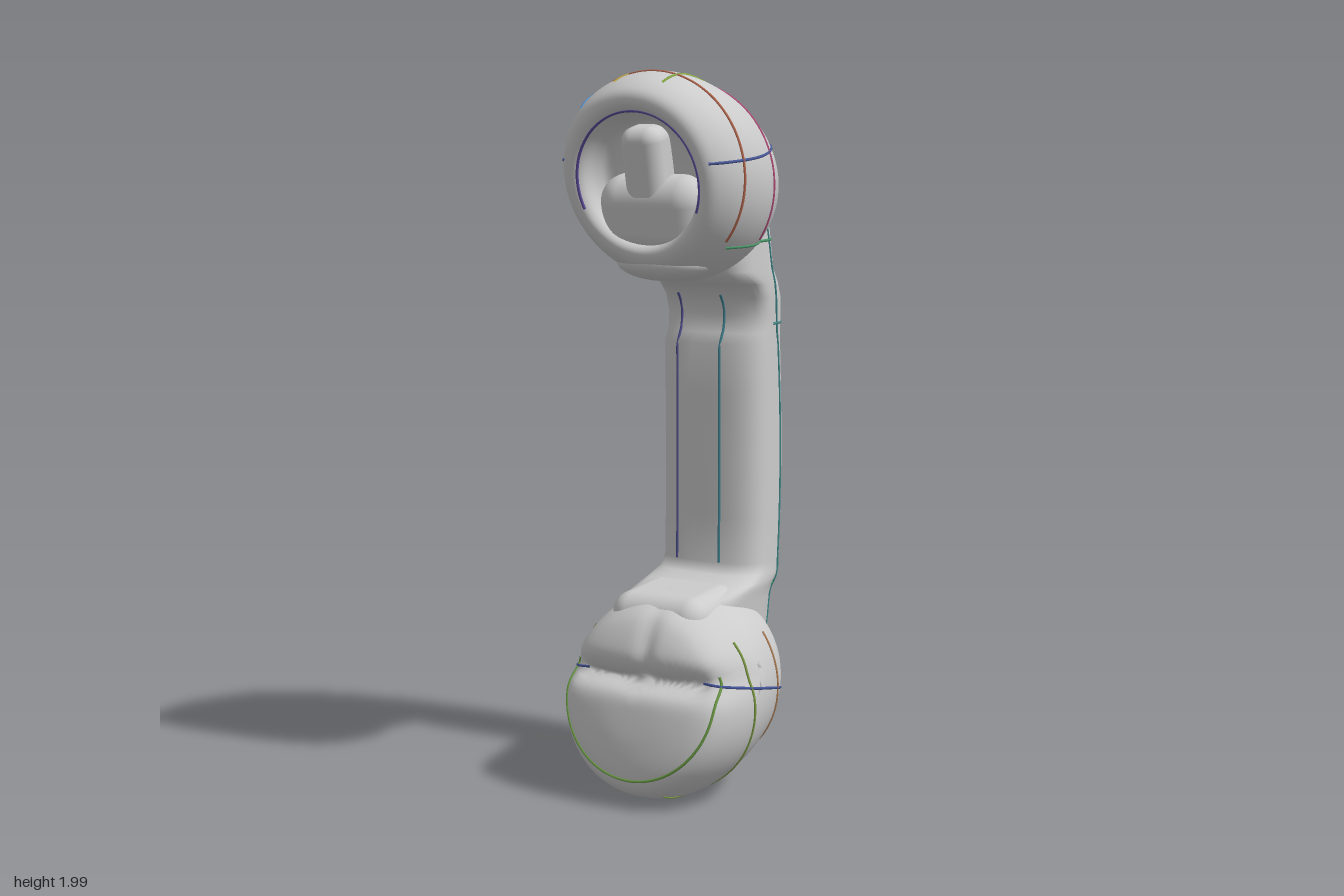
import * as THREE from 'three';
import { mergeVertices } from 'three/addons/utils/BufferGeometryUtils.js';
import { RoundedBoxGeometry } from 'three/addons/geometries/RoundedBoxGeometry.js';

const grey = new THREE.MeshStandardMaterial({ color: 0xcccccc, side: THREE.DoubleSide });

function part(name, geometry, parent, material = grey) {
  const mesh = new THREE.Mesh(geometry, material);
  mesh.name = name;
  parent.add(mesh);
  return mesh;
}

// Round head turned about the z axis, then sheared so its face tilts
function headGeometry(profile, yc, tilt, dent = () => 0) {
  const curve = new THREE.SplineCurve(profile.map(([r, d]) => new THREE.Vector2(r, d)));
  const pts = curve.getPoints(72);
  pts.forEach(p => { p.x = Math.max(0, p.x); });
  let g = new THREE.LatheGeometry(pts, 80);
  g.rotateX(Math.PI / 2);
  g.deleteAttribute('uv');
  g.deleteAttribute('normal');
  g = mergeVertices(g, 1e-5);
  const p = g.attributes.position;
  for (let i = 0; i < p.count; i++) {
    const x = p.getX(i), y = p.getY(i), z = p.getZ(i);
    p.setXYZ(i, x, y + yc, z + tilt * y - dent(x, y + yc, z));
  }
  g.computeVertexNormals();
  return g;
}

// Handle lofted upward from rounded sections: [y, back z, front z, half width]
function handleGeometry(stations, sides = 56) {
  const pos = [], idx = [];
  const sup = v => Math.sign(v) * Math.pow(Math.abs(v), 2 / 3);
  stations.forEach(([y, zb, zf, hw], i) => {
    for (let j = 0; j < sides; j++) {
      const a = j / sides * Math.PI * 2, k = (j + 1) % sides;
      pos.push(-0.01 + hw * sup(Math.cos(a)), y, (zb + zf) / 2 + (zf - zb) / 2 * sup(Math.sin(a)));
      if (i < stations.length - 1) {
        const b = i * sides, t = b + sides;
        idx.push(b + j, t + j, b + k, b + k, t + j, t + k);
      }
    }
  });
  const g = new THREE.BufferGeometry();
  g.setAttribute('position', new THREE.Float32BufferAttribute(pos, 3));
  g.setIndex(idx);
  g.computeVertexNormals();
  return g;
}

export function createModel() {
  const model = new THREE.Group();
  model.name = 'handset';
  const body = new THREE.Group();
  body.name = 'body';
  model.add(body);

  part('handle', handleGeometry([
    [0.12, -0.14, 0, 0.08], [0.2, -0.205, 0.02, 0.12], [0.3, -0.25, 0.05, 0.145],
    [0.45, -0.28, 0.12, 0.16], [0.52, -0.288, 0.14, 0.165], [0.55, -0.292, 0.11, 0.17],
    [0.57, -0.298, 0.0, 0.17], [0.59, -0.301, -0.075, 0.168], [0.62, -0.305, -0.098, 0.165],
    [0.75, -0.315, -0.1, 0.165], [0.92, -0.322, -0.1, 0.165], [1.1, -0.316, -0.1, 0.165],
    [1.24, -0.306, -0.1, 0.165], [1.27, -0.304, -0.12, 0.163], [1.32, -0.3, -0.13, 0.165],
    [1.37, -0.295, -0.115, 0.168], [1.41, -0.288, -0.07, 0.168], [1.45, -0.281, 0.04, 0.168],
    [1.55, -0.266, 0.05, 0.165], [1.7, -0.23, 0.05, 0.155], [1.8, -0.185, 0.03, 0.13],
    [1.86, -0.135, 0, 0.1],
  ]), body);

  // Earpiece: round head with a recessed face
  part('earpieceHead', headGeometry([
    [0, -0.2], [0.1, -0.197], [0.17, -0.165], [0.225, -0.1], [0.267, 0], [0.285, 0.1],
    [0.27, 0.19], [0.238, 0.25], [0.205, 0.267], [0.18, 0.25], [0.165, 0.2],
    [0.14, 0.17], [0.07, 0.16], [0, 0.16],
  ], 1.71, 0.2), body);

  // The insert fills the lower half of the recess; a strut crosses the open half
  const ear = new THREE.Group();
  ear.name = 'earpieceInsert';
  body.add(ear);
  const pad = part('earPad', new RoundedBoxGeometry(0.33, 0.22, 0.18, 6, 0.075), ear);
  pad.position.set(0, 1.615, 0.14);
  pad.rotation.x = 0.2;
  const strut = part('earStrut', new RoundedBoxGeometry(0.12, 0.33, 0.12, 5, 0.04), ear);
  strut.position.set(-0.005, 1.69, 0.18);
  strut.rotation.x = 0.2;
  const lip = part('earLip', new THREE.SphereGeometry(1, 32, 20), ear);
  lip.scale.set(0.14, 0.05, 0.09);
  lip.position.set(0, 1.482, 0.125);

  // Mouthpiece: round head with a mouth-like slot and a shallow upper groove
  part('mouthpieceHead', headGeometry([
    [0, -0.212], [0.1, -0.21], [0.17, -0.19], [0.23, -0.12], [0.262, -0.04], [0.283, 0.07],
    [0.28, 0.15], [0.25, 0.24], [0.2, 0.281], [0.1, 0.302], [0, 0.306],
  ], 0.29, -0.2, (x, y, z) => {
    if (z < 0.1) return 0;
    const slot = 0.035 * Math.exp(-(((y - 0.362) / 0.036) ** 2));
    const core = 0.03 * Math.exp(-(((y - 0.35) / 0.014) ** 2)) * THREE.MathUtils.smoothstep(0.22 - Math.abs(x), 0, 0.05);
    const groove = y > 0.36 ? 0.012 * Math.exp(-(((x - 0.02) / 0.025) ** 2)) : 0;
    return slot + core + groove;
  }), body);

  // Soft shoulder where the mouthpiece meets the handle
  const shoulder = part('shoulder', new RoundedBoxGeometry(0.3, 0.13, 0.26, 6, 0.06), body);
  shoulder.position.set(-0.005, 0.508, 0.06);
  shoulder.rotation.x = 0.08;

  // Seam wires are laid on the body by casting rays inward
  body.updateMatrixWorld(true);
  const caster = new THREE.Raycaster();
  const seams = new THREE.Group();
  seams.name = 'seams';
  model.add(seams);
  function seam(name, color, n, ray) {
    const pts = [];
    for (let i = 0; i <= n; i++) {
      const [from, to] = ray(i / n).map(a => new THREE.Vector3(...a));
      caster.set(from, to.sub(from).normalize());
      const hit = caster.intersectObject(body, true)[0];
      if (hit) pts.push(hit.point);
    }
    if (pts.length < 3) return;
    const curve = new THREE.CatmullRomCurve3(pts);
    part(name, new THREE.TubeGeometry(curve, pts.length * 2, 0.004, 6), seams,
      new THREE.MeshStandardMaterial({ color }));
  }

  // Lengthwise seams: over the top, down the back and under
  for (const [x, color] of [[-0.075, 0xb39b45], [0.075, 0x86a845]]) {
    seam('backSeam', color, 70, t => {
      const s = t * 3;
      if (s < 1) {
        const a = 0.9 + s * (Math.PI - 0.9);
        return [[x, 1.7 + Math.sin(a), 0.05 + Math.cos(a)], [x, 1.7, 0.05]];
      }
      if (s < 2) return [[x, 1.7 - (s - 1) * 1.4, -1], [x, 1.7 - (s - 1) * 1.4, 0]];
      const a = Math.PI + (s - 2) * (Math.PI - 0.9);
      return [[x, 0.3 + Math.sin(a), 0.05 + Math.cos(a)], [x, 0.3, 0.05]];
    });
  }
  for (const s of [-1, 1]) {
    // Side seams follow the bend of the handle
    seam('sideSeam', 0x3f8585, 50, t => {
      const y = 0.3 + 1.5 * t, z = -0.25 + 0.17 * (y - 0.9) ** 2;
      return [[s, y, z], [0, y, z]];
    });
    seam('frontSeam', s < 0 ? 0x4c4c88 : 0x3c7a88, 30, t => {
      const x = s < 0 ? -0.1 : 0.04, y = 0.62 + 0.76 * t;
      return [[x, y, 0.02], [x, y, -1]];
    });
  }
  seam('topSeam', 0x5592d0, 30, t => {
    const z = -0.13 + 0.4 * t;
    return [[-0.17, 3, z], [-0.17, 1.5, z]];
  });

  // Cross seams: name, colour, height at z = 0, slope, start and sweep of the loop
  for (const [name, color, y0, k, a0, sweep] of [
    ['upperHeadSeam', 0x4a5a9a, 1.78, -0.13, Math.PI * 0.72, Math.PI * 1.56],
    ['upperNeckSeam', 0x4a9a6a, 1.53, 0, Math.PI * 0.8, Math.PI * 1.4],
    ['upperHandleSeam', 0x4a8a8a, 1.295, 0, Math.PI, Math.PI],
    ['lowerHandleSeam', 0x4a9a6a, 0.56, 0.03, Math.PI, Math.PI],
    ['lowerHeadSeam', 0x45559a, 0.31, 0.26, Math.PI * 0.72, Math.PI * 1.56],
  ]) {
    const zc = name.includes('Handle') ? -0.2 : 0;
    seam(name, color, 56, t => {
      const a = a0 + sweep * t, c = Math.cos(a), d = Math.sin(a);
      const at = r => [r * c, y0 + k * (zc + 0.25 * d), zc + r * d];
      return [at(0.8), at(0)];
    });
  }
  // Meridian seams across each head
  for (const [z, yc, color] of [[0.17, 1.71, 0xb0654c], [0, 1.71, 0xb04c78], [0.12, 0.29, 0x7d9a45], [-0.05, 0.29, 0xa87a50]]) {
    const up = yc > 1 ? 1 : -1;
    seam('headMeridian', color, 44, t => {
      const a = -0.65 + t * (Math.PI + 1.3), h = up * Math.sin(a);
      return [[Math.cos(a), yc + h, z + 0.05 * h], [0, yc, z]];
    });
  }
  // Rim seams on the two faces
  seam('earRimSeam', 0x5a4a98, 40, t => {
    const a = -0.4 + t * (Math.PI + 0.8), x = 0.19 * Math.cos(a), y = 1.7 + 0.19 * Math.sin(a);
    return [[x, y, 1], [x, y, 0]];
  });
  seam('mouthRimSeam', 0x6a9a45, 48, t => {
    const a = Math.PI * (0.9 + 1.2 * t), x = 0.235 * Math.cos(a), y = 0.31 + 0.225 * Math.sin(a);
    return [[x, y, 1], [x, y, 0]];
  });
  return model;
}
